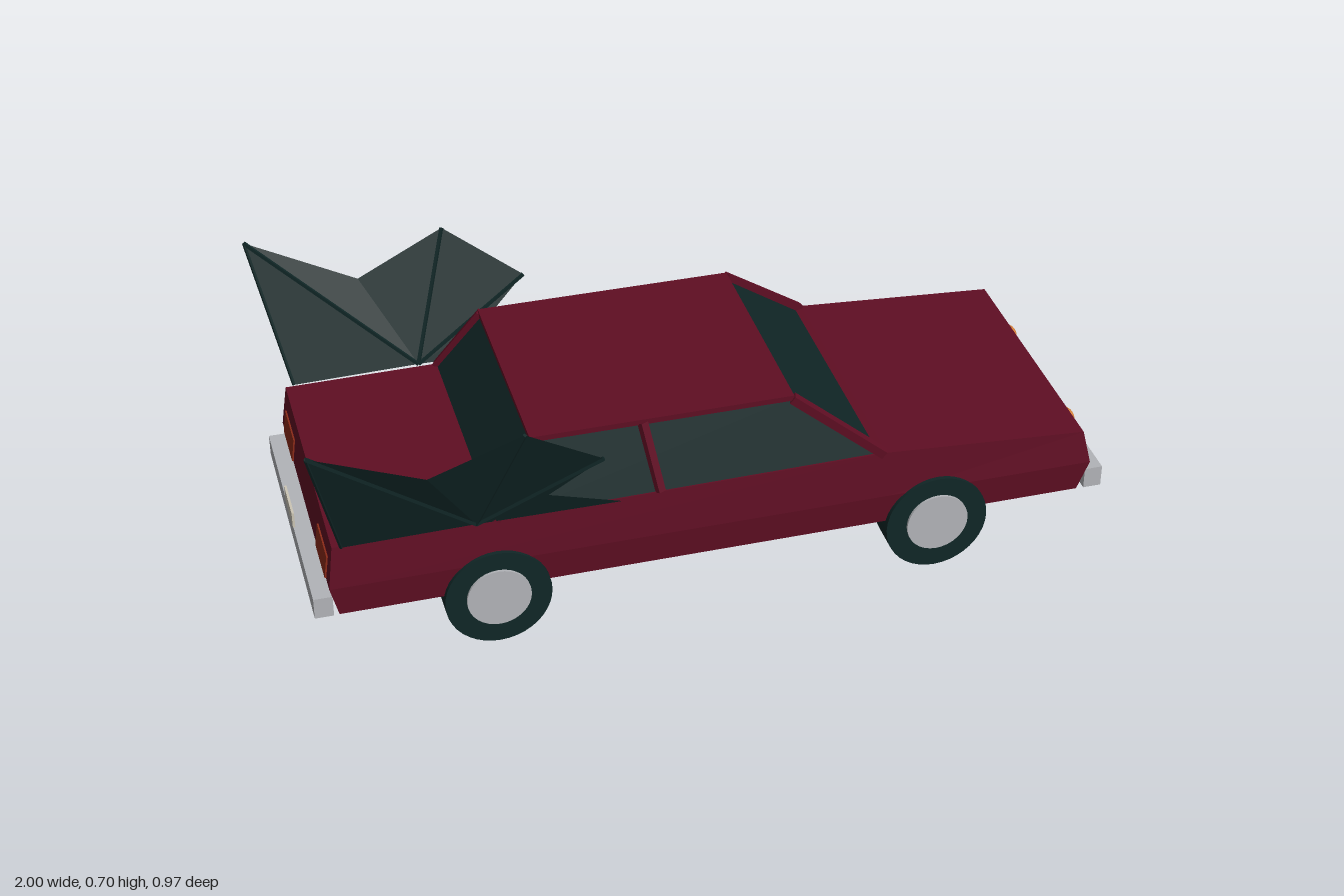
import * as THREE from 'three';

const paint = new THREE.MeshStandardMaterial({ color: 0x5f0e23 });
const dark = new THREE.MeshStandardMaterial({ color: 0x102626, side: THREE.DoubleSide });
const chrome = new THREE.MeshStandardMaterial({ color: 0xb2b4b8 });
const cream = new THREE.MeshStandardMaterial({ color: 0xcbc5b5 });
const amber = new THREE.MeshStandardMaterial({ color: 0xd9843c });
const red = new THREE.MeshStandardMaterial({ color: 0x8a2a18 });
Object.entries({ paint, dark, chrome, cream, amber, red }).forEach(([n, m]) => { m.name = n; });

const V = (x, y, z) => new THREE.Vector3(x, y, z);

export function createModel() {
  const car = new THREE.Group();
  car.name = 'wingedCar';

  const add = (name, geo, mat, x = 0, y = 0, z = 0) => {
    const m = new THREE.Mesh(geo, mat);
    m.name = name;
    m.position.set(x, y, z);
    car.add(m);
    return m;
  };
  const box = (name, mat, w, h, d, x, y, z) => add(name, new THREE.BoxGeometry(w, h, d), mat, x, y, z);

  // Square bar between two points
  const bar = (name, a, b, t, mat) => {
    const m = box(name, mat, t, t, a.distanceTo(b), 0, 0, 0);
    m.position.copy(a).lerp(b, 0.5);
    m.lookAt(b);
  };

  // Box whose grid corners are moved by a rule, with flat faces
  const shaped = (nx, ny, rule) => {
    const g = new THREE.BoxGeometry(2, 2, 2, nx, ny, 1).toNonIndexed();
    const p = g.attributes.position;
    for (let i = 0; i < p.count; i++) {
      const [x, y, w] = rule(Math.round(p.getX(i)), Math.round(p.getY(i)));
      p.setXYZ(i, x, y, Math.sign(p.getZ(i)) * w);
    }
    g.computeVertexNormals();
    return g;
  };

  // Lower body: rows are bottom, waist and top; columns are tail, cowl and nose
  const rows = [
    [[-0.937, 0.15], [0.42, 0.15], [0.93, 0.15]],
    [[-0.957, 0.232], [0.42, 0.232], [0.957, 0.232]],
    [[-0.942, 0.345], [0.42, 0.355], [0.937, 0.32]],
  ];
  const widths = [0.348, 0.356, 0.345];
  add('body', shaped(2, 2, (i, j) => [...rows[j + 1][i + 1], widths[j + 1]]), paint);

  // Cabin glass, roof and pillars
  add('cabinGlass', shaped(1, 1, (i, j) => (j < 0
    ? [i < 0 ? -0.56 : 0.42, 0.34, 0.345]
    : [i < 0 ? -0.445 : 0.19, 0.518, 0.284])), dark);
  box('roof', paint, 0.65, 0.014, 0.58, -0.127, 0.521, 0);
  for (const s of [-1, 1]) {
    bar('frontPillar', V(0.415, 0.352, s * 0.342), V(0.195, 0.518, s * 0.285), 0.022, paint);
    bar('middlePillar', V(-0.15, 0.35, s * 0.342), V(-0.178, 0.518, s * 0.286), 0.02, paint);
    bar('rearPillar', V(-0.555, 0.345, s * 0.342), V(-0.445, 0.518, s * 0.285), 0.022, paint);
  }

  // Wheels with flat hubcaps
  const tyreGeo = new THREE.CylinderGeometry(0.131, 0.131, 0.087, 40).rotateX(Math.PI / 2);
  const hubGeo = new THREE.CylinderGeometry(0.079, 0.079, 0.008, 32).rotateX(Math.PI / 2);
  for (const x of [-0.556, 0.554]) {
    for (const s of [-1, 1]) {
      add('tyre', tyreGeo, dark, x, 0.131, s * 0.32);
      add('hubcap', hubGeo, chrome, x, 0.134, s * 0.366);
    }
  }

  // Bumpers and number plates
  for (const s of [-1, 1]) {
    box(s > 0 ? 'frontBumper' : 'rearBumper', chrome, 0.046, 0.056, 0.694, s * 0.973, 0.176, 0);
  }
  box('frontPlate', cream, 0.006, 0.04, 0.118, 0.997, 0.175, 0);
  box('rearPlate', cream, 0.006, 0.042, 0.118, -0.995, 0.229, 0);

  // Grille and lamps, tilted with the nose
  const nose = (name, mat, h, w, y, z, lift) => {
    const x = 0.957 - (y - 0.232) * 0.227;
    box(name, mat, 0.006, h, w, x + lift, y, z).rotation.z = 0.224;
  };
  nose('grille', dark, 0.073, 0.4, 0.262, 0, 0.001);
  for (const s of [-1, 1]) {
    nose('lampPanel', cream, 0.046, 0.12, 0.267, s * 0.22, 0.004);
    add('headlamp', new THREE.SphereGeometry(1, 24, 16).scale(0.02, 0.022, 0.032), amber, 0.953, 0.266, s * 0.2);
    const tail = box('tailLamp', red, 0.008, 0.062, 0.135, -0.9525, 0.266, s * 0.245);
    tail.rotation.z = -0.132;

    // Fangs under the front bumper
    add('fang', new THREE.ConeGeometry(0.014, 0.132, 16).rotateX(Math.PI), cream, 0.98, 0.084, s * 0.11);
  }

  // Bat wings: a membrane fanned around the root, with thin finger bones
  const outline = [
    [-0.92, 0.345, 0.35], [-0.997, 0.7, 0.478], [-0.725, 0.57, 0.447], [-0.5, 0.668, 0.473],
    [-0.305, 0.53, 0.42], [-0.43, 0.42, 0.378], [-0.245, 0.347, 0.352],
  ];
  for (const s of [-1, 1]) {
    const root = V(-0.6, 0.35, s * 0.352);
    const pts = outline.map(([x, y, z]) => V(x, y, s * z));
    const tris = [];
    for (let i = 0; i < pts.length - 1; i++) tris.push(root, pts[i], pts[i + 1]);
    const g = new THREE.BufferGeometry().setFromPoints(tris);
    g.computeVertexNormals();
    add('wingMembrane', g, dark);
    for (const i of [1, 3, 4]) bar('wingBone', root, pts[i], 0.008, dark);
    bar('wingEdge', pts[0], pts[1], 0.006, dark);
  }

  return car;
}
